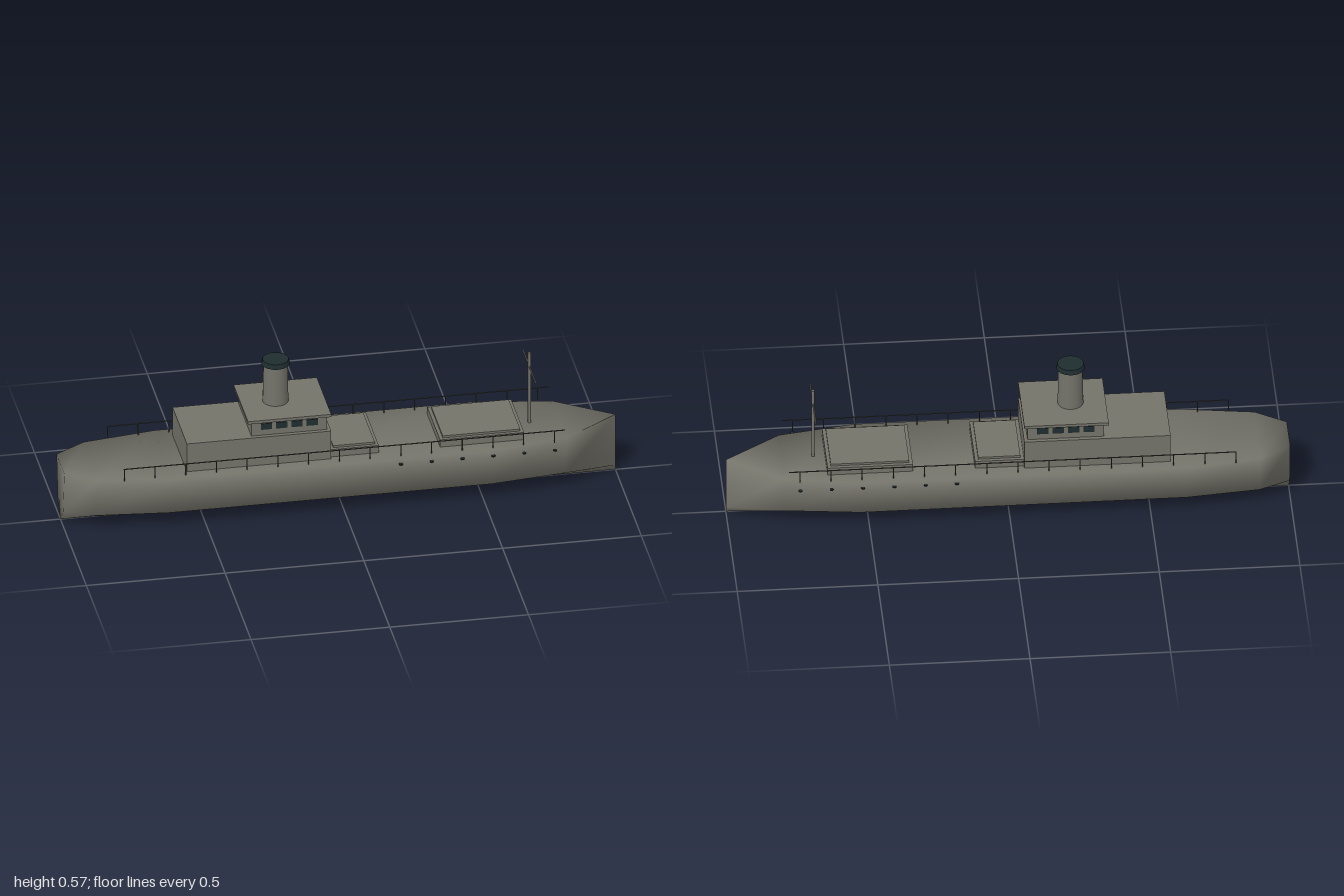
import * as THREE from 'three';

const mat = (name, color) => new THREE.MeshStandardMaterial({ name, color });

export function createModel() {
  const ship = new THREE.Group();
  ship.name = 'ship';
  const paint = mat('greyPaint', 0x74736a);
  const dark = mat('darkMetal', 0x1f2d2f);
  const railMat = mat('railSteel', 0x4a4a44);

  const add = (name, geo, material, x, y, z, parent = ship) => {
    const m = new THREE.Mesh(geo, material);
    m.name = name;
    m.position.set(x, y, z);
    parent.add(m);
    return m;
  };
  // box given by its limits along x and y, and half width along z
  const block = (name, x0, x1, y0, y1, hz, material = paint) =>
    add(name, new THREE.BoxGeometry(x1 - x0, y1 - y0, hz * 2), material, (x0 + x1) / 2, (y0 + y1) / 2, 0);
  const group = (name) => {
    const g = new THREE.Group();
    g.name = name;
    ship.add(g);
    return g;
  };

  // hull: five-sided sections lofted from stern to bow, smoothly shaded
  const deckY = 0.222;
  const stations = [ // x, half width at deck, chine height
    [-1, 0.075, 0.057], [-0.89, 0.145, 0.057], [-0.63, 0.184, 0.057],
    [0.53, 0.184, 0.057], [0.8, 0.138, 0.057], [1, 0.001, 0.018],
  ];
  const pos = [], idx = [], n = 5, last = (stations.length - 1) * n;
  for (const [x, w, cy] of stations) {
    const c = w * 0.695;
    pos.push(x, 0, 0, x, cy, c, x, deckY, w, x, deckY, -w, x, cy, -c);
  }
  for (let i = 0; i < last; i += n) {
    for (let j = 0; j < n; j++) {
      const k = (j + 1) % n;
      const a = i + j, b = i + n + j, c = i + n + k, d = i + k;
      idx.push(a, b, c, a, c, d);
    }
  }
  for (let j = 1; j < n - 1; j++) {
    idx.push(0, j, j + 1, last, last + j + 1, last + j);
  }
  const hullGeo = new THREE.BufferGeometry();
  hullGeo.setAttribute('position', new THREE.Float32BufferAttribute(pos, 3));
  hullGeo.setIndex(idx);
  hullGeo.computeVertexNormals();
  add('hull', hullGeo, paint, 0, 0, 0);

  // deckhouse, bridge and bridge roof
  block('deckhouse', -0.57, -0.05, 0.215, 0.334, 0.138);
  block('bridge', -0.335, -0.062, 0.33, 0.392, 0.123);
  block('bridgeRoof', -0.35, -0.05, 0.391, 0.402, 0.139);

  // bridge windows on both sides
  const windows = group('bridgeWindows');
  for (const side of [1, -1]) {
    for (let i = 0; i < 4; i++) {
      add('window', new THREE.BoxGeometry(0.04, 0.024, 0.004), dark, -0.281 + i * 0.055, 0.369, side * 0.124, windows);
    }
  }

  // funnel with flared dark cap
  add('funnel', new THREE.CylinderGeometry(0.043, 0.046, 0.16, 24), paint, -0.225, 0.48, 0);
  add('funnelCap', new THREE.CylinderGeometry(0.047, 0.051, 0.018, 16), dark, -0.225, 0.561, 0);

  // cargo hatches with raised covers
  for (const [x0, x1] of [[0.345, 0.648], [-0.05, 0.124]]) {
    block('hatchCoaming', x0, x1, 0.215, 0.251, 0.124);
    block('hatchCover', x0 + 0.012, x1 - 0.012, 0.25, 0.259, 0.111);
  }

  // mast and crossing yard
  add('mast', new THREE.CylinderGeometry(0.006, 0.006, 0.283, 10), paint, 0.69, 0.3615, 0);
  add('yard', new THREE.CylinderGeometry(0.003, 0.003, 0.25, 8), paint, 0.69, 0.447, 0).rotation.x = Math.PI / 2;

  // side rails with posts, and small studs along the forward hull
  const rails = group('railings');
  const studs = group('hullStuds');
  for (const side of [1, -1]) {
    const z = side * 0.162;
    add('handrail', new THREE.CylinderGeometry(0.002, 0.002, 1.59, 6), railMat, -0.007, 0.267, z, rails)
      .rotation.z = Math.PI / 2;
    for (let i = 0; i < 15; i++) {
      add('railPost', new THREE.CylinderGeometry(0.002, 0.002, 0.047, 6), railMat, -0.8 + i * 0.1107, 0.2435, z, rails);
    }
    for (let i = 0; i < 6; i++) {
      add('stud', new THREE.CylinderGeometry(0.007, 0.007, 0.004, 10), dark, 0.193 + i * 0.1112, 0.199, side * 0.181, studs);
    }
  }
  return ship;
}
